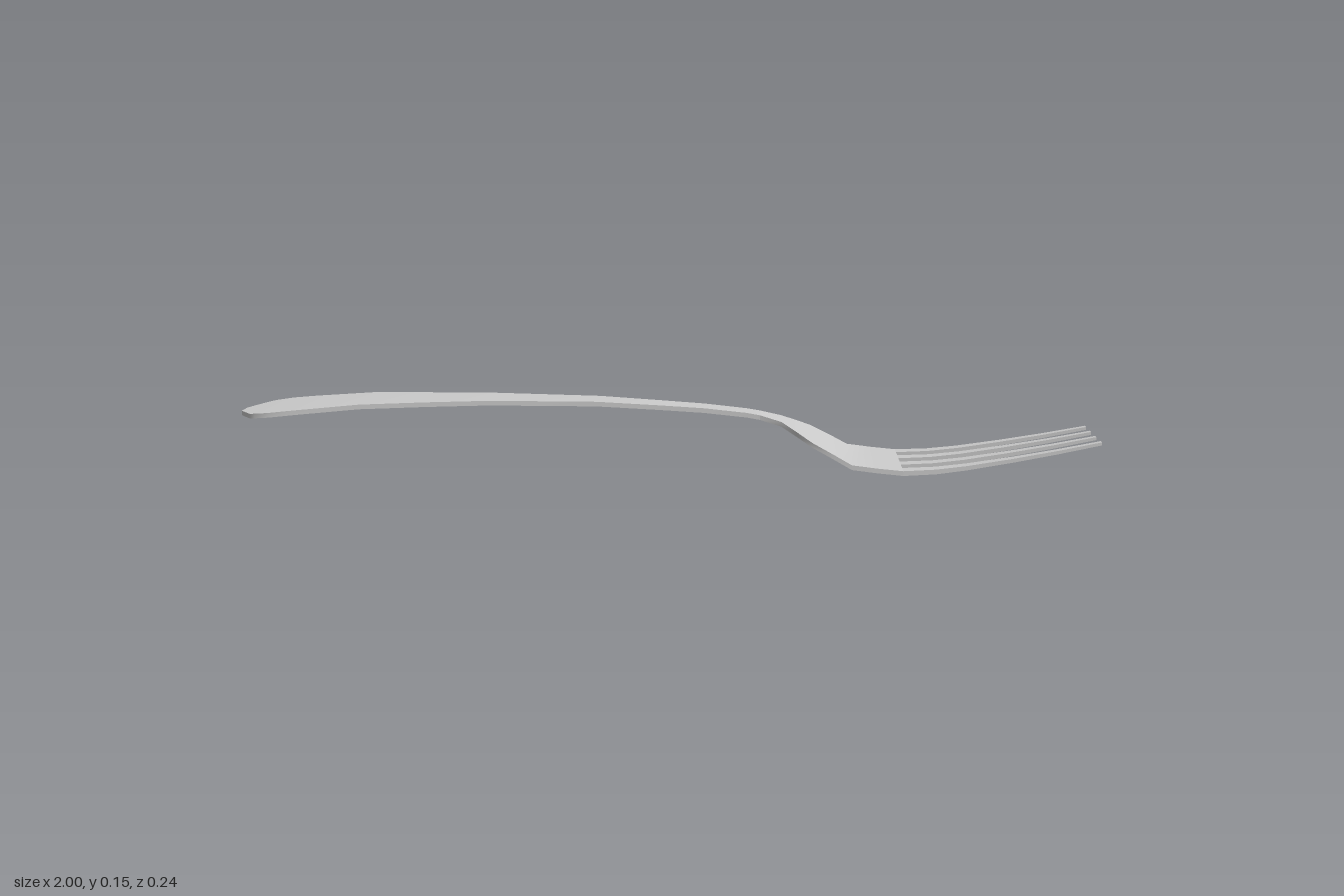
import * as THREE from 'three';
import { toCreasedNormals } from 'three/addons/utils/BufferGeometryUtils.js';

// Thin bar lofted along x; each station is [x, centre y, z min, z max, thickness]
function loft(stations) {
  const pos = [];
  const rings = stations.map(([x, y, z0, z1, t]) => [
    [x, y - t / 2, z0], [x, y - t / 2, z1], [x, y + t / 2, z1], [x, y + t / 2, z0],
  ]);
  const quad = (a, b, c, d) => pos.push(...a, ...b, ...c, ...a, ...c, ...d);
  for (let i = 0; i < rings.length - 1; i++) {
    const a = rings[i], b = rings[i + 1];
    for (let k = 0; k < 4; k++) {
      const n = (k + 1) % 4;
      quad(a[k], b[k], b[n], a[n]);
    }
  }
  const s = rings[0], e = rings[rings.length - 1];
  quad(s[0], s[1], s[2], s[3]);
  quad(e[3], e[2], e[1], e[0]);
  const geometry = new THREE.BufferGeometry();
  geometry.setAttribute('position', new THREE.Float32BufferAttribute(pos, 3));
  return toCreasedNormals(geometry, 0.6);
}

export function createModel() {
  const group = new THREE.Group();
  const material = new THREE.MeshStandardMaterial({ color: 0xcccccc });
  const add = (name, stations) => {
    const mesh = new THREE.Mesh(loft(stations), material);
    mesh.name = name;
    group.add(mesh);
  };
  // Symmetric stations: [x, centre y, half width]
  const symmetric = (rows) => rows.map(([x, y, w]) => [x, y, -w, w, 0.011]);

  // Arched handle, wide at the rounded end and narrow at the neck
  add('handle', symmetric([
    [-1, 0.111, 0.02], [-0.985, 0.113, 0.046], [-0.96, 0.116, 0.085], [-0.945, 0.118, 0.094],
    [-0.91, 0.122, 0.104], [-0.85, 0.128, 0.1], [-0.7, 0.141, 0.086], [-0.55, 0.145, 0.069],
    [-0.4, 0.148, 0.055], [-0.15, 0.146, 0.04], [0, 0.138, 0.034], [0.1, 0.132, 0.031],
    [0.2, 0.122, 0.03], [0.23, 0.117, 0.031],
  ]));

  // Shoulder dropping into the flat head
  add('head', symmetric([
    [0.23, 0.117, 0.031], [0.28, 0.104, 0.043], [0.315, 0.087, 0.076], [0.35, 0.069, 0.109],
    [0.4, 0.043, 0.117], [0.44, 0.021, 0.121], [0.5, 0.014, 0.121], [0.556, 0.009, 0.121],
  ]));

  // Four tapering tines sweeping up: [x, centre y, thickness]
  const curve = [
    [0.556, 0.009, 0.011], [0.63, 0.013, 0.011], [0.7, 0.022, 0.01],
    [0.8, 0.039, 0.009], [0.9, 0.058, 0.008], [1, 0.079, 0.007],
  ];
  const tines = [
    { name: 'outerTine', base: [0.087, 0.121], tip: [0.083, 0.098] },
    { name: 'innerTine', base: [0.018, 0.052], tip: [0.023, 0.038] },
  ];
  for (const { name, base, tip } of tines) {
    for (const side of [-1, 1]) {
      add(name + (side > 0 ? 'Front' : 'Back'), curve.map(([x, y, t]) => {
        const f = (x - 0.556) / 0.444;
        const a = side * THREE.MathUtils.lerp(base[0], tip[0], f);
        const b = side * THREE.MathUtils.lerp(base[1], tip[1], f);
        return [x, y, Math.min(a, b), Math.max(a, b), t];
      }));
    }
  }
  return group;
}
